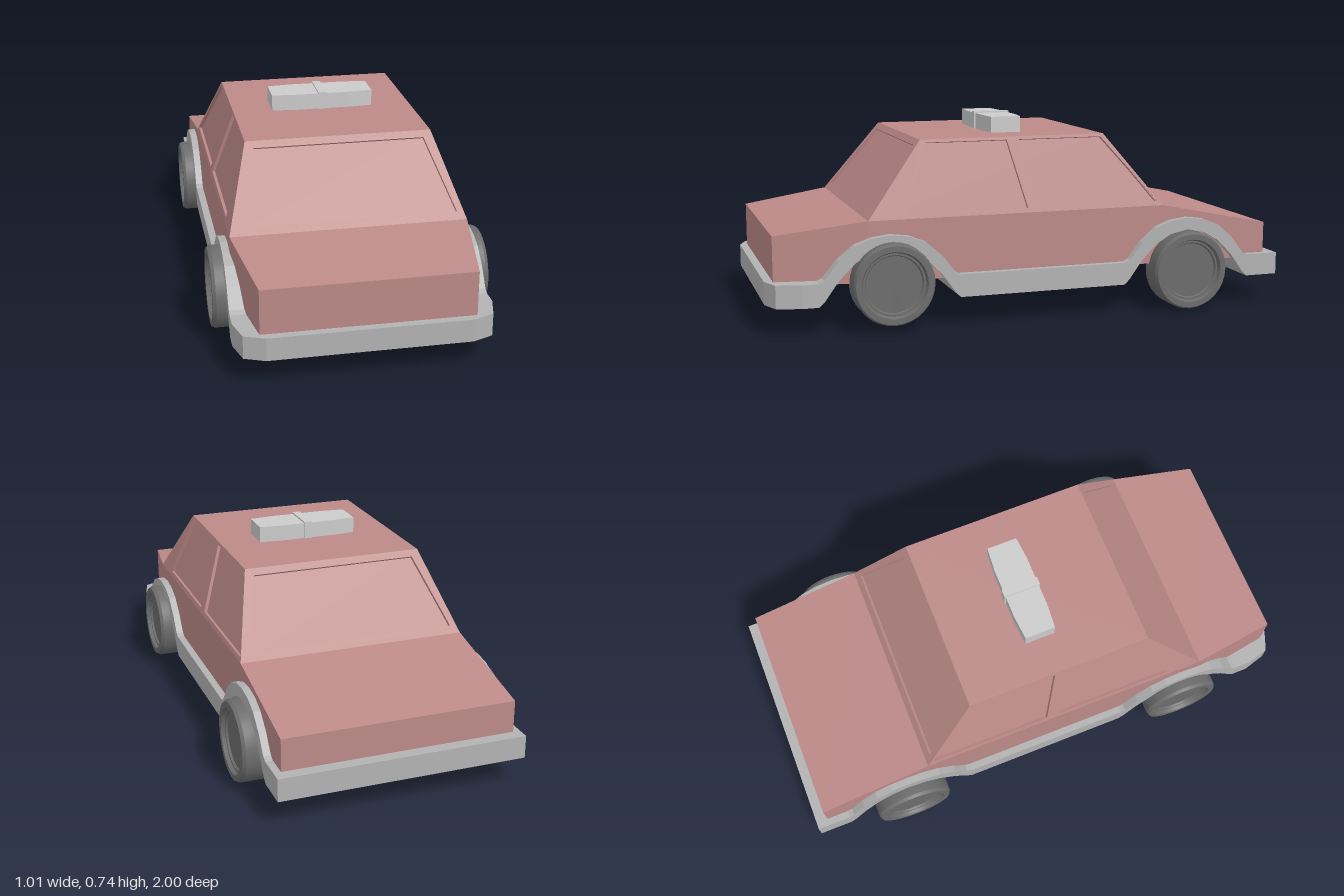
import * as THREE from 'three';
import { toCreasedNormals } from 'three/addons/utils/BufferGeometryUtils.js';

const paint = new THREE.MeshStandardMaterial({ color: 0xbc8a88 });
const trim = new THREE.MeshStandardMaterial({ color: 0xb2b2b2 });
const grey = new THREE.MeshStandardMaterial({ color: 0xcccccc });
const rubber = new THREE.MeshStandardMaterial({ color: 0x6c6c6c });
const V = (x, y, z) => new THREE.Vector3(x, y, z);

function part(name, geometry, material) {
  const mesh = new THREE.Mesh(geometry, material);
  mesh.name = name;
  return mesh;
}

// Closed flat-faced loft of rectangles; stations run front to back: [z, bottom, top, halfWidth]
function loft(stations) {
  const pos = [], index = [];
  stations.forEach(([z, b, t, w], s) => {
    pos.push(-w, b, z, w, b, z, w, t, z, -w, t, z);
    if (s === 0) return;
    for (let k = 0; k < 4; k++) {
      const a = (s - 1) * 4, n = s * 4, j = (k + 1) % 4;
      index.push(a + k, n + k, n + j, a + k, n + j, a + j);
    }
  });
  const e = (stations.length - 1) * 4;
  index.push(0, 1, 2, 0, 2, 3, e, e + 2, e + 1, e, e + 3, e + 2);
  let g = new THREE.BufferGeometry();
  g.setAttribute('position', new THREE.Float32BufferAttribute(pos, 3));
  g.setIndex(index);
  g = g.toNonIndexed();
  g.computeVertexNormals();
  return g;
}

// Thin plate through four corners (bl, br, tr, tl from outside) with window openings
function panel(name, corners, windows = [], depth = 0.012) {
  const [o, br, , tl] = corners;
  const u = br.clone().sub(o).normalize();
  const n = u.clone().cross(tl.clone().sub(o)).normalize();
  const v = n.clone().cross(u);
  const flat = (p) => {
    const d = p.clone().sub(o);
    return new THREE.Vector2(d.dot(u), d.dot(v));
  };
  const shape = new THREE.Shape(corners.map(flat));
  windows.forEach((w) => shape.holes.push(new THREE.Path(w.map(flat))));
  const g = new THREE.ExtrudeGeometry(shape, { depth, bevelEnabled: false });
  g.translate(0, 0, -depth);
  g.applyMatrix4(new THREE.Matrix4().makeBasis(u, v, n).setPosition(o));
  return part(name, g, paint);
}

// Cabin: belt line (y0) and roof (y1) dimensions
const y0 = 0.4, y1 = 0.675;
const low = { w: 0.433, f: 0.635, b: -0.515 }, high = { w: 0.345, f: 0.42, b: -0.3 };
const at = (key, y) => THREE.MathUtils.lerp(low[key], high[key], (y - y0) / (y1 - y0));

function cabin() {
  const group = new THREE.Group();
  group.name = 'cabin';

  // Windscreens
  const ends = [['windscreenFrame', 'f', 1], ['rearScreenFrame', 'b', -1]];
  for (const [name, key, s] of ends) {
    const p = (x, y) => V(x * s, y, at(key, y));
    group.add(panel(name,
      [p(-low.w, y0), p(low.w, y0), p(high.w, y1), p(-high.w, y1)],
      [[p(-0.4, 0.425), p(0.4, 0.425), p(0.315, 0.653), p(-0.315, 0.653)]]));
  }

  // Sides with two door windows each
  for (const s of [1, -1]) {
    const p = (z, y) => V(s * at('w', y), y, z);
    const quad = [p(low.f, y0), p(low.b, y0), p(high.b, y1), p(high.f, y1)];
    const corners = s > 0 ? quad : [quad[1], quad[0], quad[3], quad[2]];
    group.add(panel(s > 0 ? 'leftDoorFrame' : 'rightDoorFrame', corners, [
      [p(0.495, 0.416), p(0.03, 0.416), p(0.088, 0.664), p(0.4, 0.664)],
      [p(-0.018, 0.416), p(-0.495, 0.416), p(-0.287, 0.664), p(0.04, 0.664)],
    ]));
  }

  // Roof
  const { w, f, b } = high;
  group.add(panel('roof', [V(-w, y1, f), V(w, y1, f), V(w, y1, b), V(-w, y1, b)]));

  // Recessed panes: one slightly smaller tapered block inside the frames
  const block = new THREE.BoxGeometry(2, 1, 2).toNonIndexed();
  const pos = block.attributes.position;
  for (let i = 0; i < pos.count; i++) {
    const d = pos.getY(i) > 0 ? high : low;
    pos.setXYZ(i,
      Math.sign(pos.getX(i)) * (d.w - 0.012),
      pos.getY(i) > 0 ? y1 - 0.004 : y0 - 0.004,
      pos.getZ(i) > 0 ? d.f - 0.014 : d.b + 0.014);
  }
  block.computeVertexNormals();
  group.add(part('windowPanes', block, paint));
  return group;
}

// Wheel arch stations around a centre: [offset, bottom, top]
const halfArch = [
  [0.26, 0.105, 0.19], [0.24, 0.125, 0.2], [0.19, 0.195, 0.265],
  [0.13, 0.255, 0.317], [0.07, 0.29, 0.341],
];
const archShape = [
  ...halfArch, [0, 0.305, 0.35],
  ...halfArch.map(([d, b, t]) => [-d, b, t]).reverse(),
];
const arch = (z) => archShape.map(([d, b, t]) => [z + d, b, t, 0.46]);

function wheel(name, side, y, z) {
  const profile = [
    [0, 0], [0.148, 0], [0.15, 0.005], [0.15, 0.088], [0.143, 0.1],
    [0.122, 0.1], [0.116, 0.086], [0.108, 0.086], [0.104, 0.078], [0, 0.078],
  ].map(([r, h]) => new THREE.Vector2(r, h));
  const g = toCreasedNormals(new THREE.LatheGeometry(profile, 32), 0.5);
  g.rotateZ(-side * Math.PI / 2);
  const mesh = part(name, g, rubber);
  mesh.position.set(side * 0.405, y, z);
  return mesh;
}

function lightBar() {
  const group = new THREE.Group();
  group.name = 'roofLightBar';
  // Slightly bowed plan, one half per side
  const plan = [[0, -0.026], [0.1, -0.026], [0.195, -0.018], [0.195, 0.1], [0.1, 0.108], [0, 0.108]];
  for (const s of [1, -1]) {
    const shape = new THREE.Shape(plan.map(([x, z]) => new THREE.Vector2(s * x, -z)));
    const g = new THREE.ExtrudeGeometry(shape, { depth: 0.062, bevelEnabled: false });
    g.rotateX(-Math.PI / 2).translate(0, 0.674, 0);
    group.add(part(s > 0 ? 'leftLight' : 'rightLight', g, grey));
  }
  const divider = part('lightDivider', new THREE.BoxGeometry(0.032, 0.068, 0.144), grey);
  divider.position.set(0, 0.708, 0.041);
  group.add(divider);
  return group;
}

export function createModel() {
  const car = new THREE.Group();
  car.name = 'car';

  // Lower body with sloping bonnet and boot
  car.add(part('body', loft([
    [0.97, 0.175, 0.355, 0.378], [0.635, 0.175, 0.4, 0.433],
    [-0.515, 0.175, 0.4, 0.433], [-0.955, 0.175, 0.31, 0.433],
  ]), paint));
  car.add(cabin());

  // Bumpers, sills and wheel arches in one run
  car.add(part('bumperAndSills', loft([
    [1, 0.105, 0.19, 0.36], [0.97, 0.105, 0.19, 0.435], [0.88, 0.105, 0.19, 0.46],
    ...arch(0.56), ...arch(-0.61), [-1, 0.105, 0.19, 0.46],
  ]), trim));

  for (const s of [1, -1]) {
    const side = s > 0 ? 'Left' : 'Right';
    car.add(wheel('front' + side + 'Wheel', s, 0.175, 0.555));
    car.add(wheel('rear' + side + 'Wheel', s, 0.15, -0.61));
  }
  car.add(lightBar());
  return car;
}
